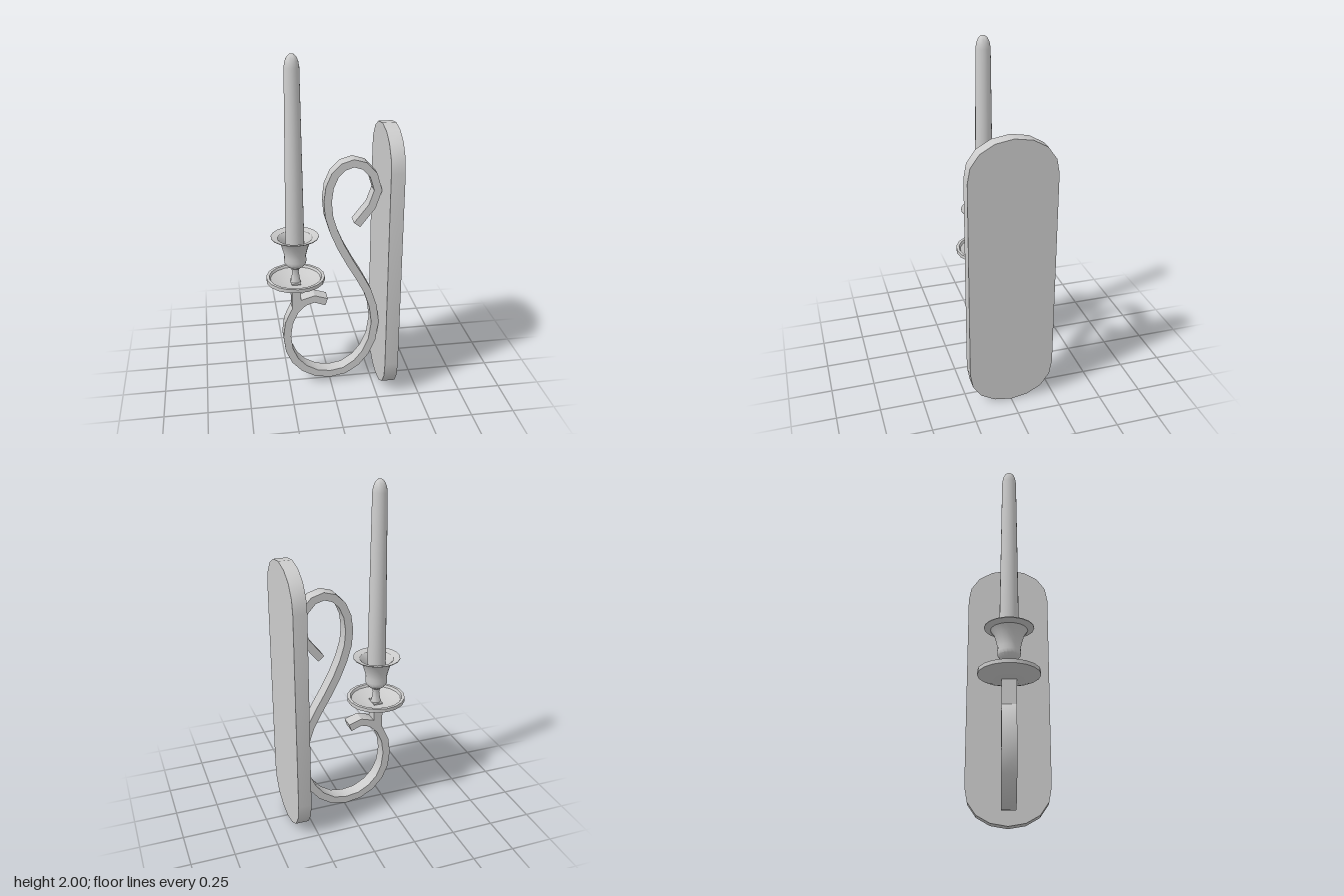
import * as THREE from 'three';
import { toCreasedNormals } from 'three/addons/utils/BufferGeometryUtils.js';

const CANDLE_X = -0.2;
const material = new THREE.MeshStandardMaterial({ color: 0xcccccc, side: THREE.DoubleSide });
const vectors = (pairs) => pairs.map(([x, y]) => new THREE.Vector2(x, y));

function addMesh(group, name, geometry, crease = 0.6) {
  const mesh = new THREE.Mesh(toCreasedNormals(geometry, crease), material);
  mesh.name = name;
  group.add(mesh);
  return mesh;
}

// Turned part on the candle axis; profile is [radius, height]
function addTurned(group, name, profile, sides) {
  addMesh(group, name, new THREE.LatheGeometry(vectors(profile), sides)).position.x = CANDLE_X;
}

// Outline of a flat strip of constant width along a centre line
function stripShape(points, width) {
  const left = [], right = [];
  points.forEach((p, i) => {
    const before = points[Math.max(i - 1, 0)];
    const after = points[Math.min(i + 1, points.length - 1)];
    const dir = after.clone().sub(before).normalize();
    const offset = new THREE.Vector2(-dir.y, dir.x).multiplyScalar(width / 2);
    left.push(p.clone().add(offset));
    right.unshift(p.clone().sub(offset));
  });
  return new THREE.Shape([...left, ...right]);
}

export function createModel() {
  const group = new THREE.Group();
  group.name = 'wallCandleHolder';

  // Wall plate with rounded ends
  const half = [[0.245, 0.22], [0.245, 1.4], [0.23, 1.48], [0.18, 1.55], [0.1, 1.595], [0, 1.612]];
  const lower = [[0, 0], [0.1, 0.017], [0.18, 0.062], [0.23, 0.135]];
  const mirrored = (list) => list.filter(([x]) => x > 0).map(([x, y]) => [-x, y]).reverse();
  const outline = [...lower, ...half, ...mirrored(half), ...mirrored(lower)];
  const plate = new THREE.ExtrudeGeometry(new THREE.Shape(vectors(outline)), { depth: 0.077, bevelEnabled: false });
  plate.rotateY(Math.PI / 2).translate(0.29, 0, 0);
  addMesh(group, 'wallPlate', plate, 0.5);

  // S-shaped scroll, from the lower curl to the upper hook
  const centreLine = vectors([
    [-0.024, 0.553], [-0.095, 0.577], [-0.158, 0.558], [-0.212, 0.505], [-0.248, 0.425], [-0.26, 0.335],
    [-0.248, 0.24], [-0.215, 0.165], [-0.16, 0.105], [-0.085, 0.063], [0, 0.05], [0.085, 0.065],
    [0.16, 0.115], [0.215, 0.185], [0.252, 0.27], [0.269, 0.39], [0.255, 0.5], [0.22, 0.605],
    [0.17, 0.7], [0.115, 0.795], [0.06, 0.9], [0.02, 0.995], [-0.008, 1.09], [-0.016, 1.18],
    [-0.005, 1.265], [0.025, 1.335], [0.072, 1.382], [0.13, 1.4], [0.19, 1.382], [0.242, 1.325],
    [0.268, 1.235], [0.235, 1.14], [0.151, 1.033],
  ]);
  const scroll = new THREE.ExtrudeGeometry(stripShape(centreLine, 0.045), { depth: 0.08, bevelEnabled: false });
  scroll.translate(0, 0, -0.04);
  addMesh(group, 'scrollArm', scroll);

  // Short post from the scroll to the dish
  addMesh(group, 'post', new THREE.BoxGeometry(0.053, 0.17, 0.08)).position.set(CANDLE_X, 0.6, 0);

  // Drip dish with raised rim
  addTurned(group, 'dripDish', [
    [0, 0.66], [0.065, 0.662], [0.12, 0.677], [0.17, 0.695], [0.17, 0.717], [0.153, 0.717],
    [0.146, 0.703], [0.1, 0.685], [0.05, 0.677], [0, 0.676],
  ], 18);

  // Candle cup on a slim foot, hollow with a flared lip
  addTurned(group, 'candleCup', [
    [0, 0.676], [0.03, 0.68], [0.024, 0.71], [0.019, 0.745], [0.024, 0.77], [0.045, 0.785],
    [0.062, 0.805], [0.065, 0.825], [0.062, 0.85], [0.07, 0.885], [0.082, 0.925], [0.102, 0.955],
    [0.137, 0.968], [0.137, 0.972], [0.1, 0.962], [0.077, 0.935], [0.063, 0.89], [0.056, 0.84], [0, 0.83],
  ], 18);

  // Tapered candle with a domed tip
  addTurned(group, 'candle', [
    [0, 0.835], [0.055, 0.835], [0.053, 1.0], [0.041, 1.93], [0.036, 1.96], [0.026, 1.983], [0.013, 1.996], [0, 2],
  ], 20);

  return group;
}
